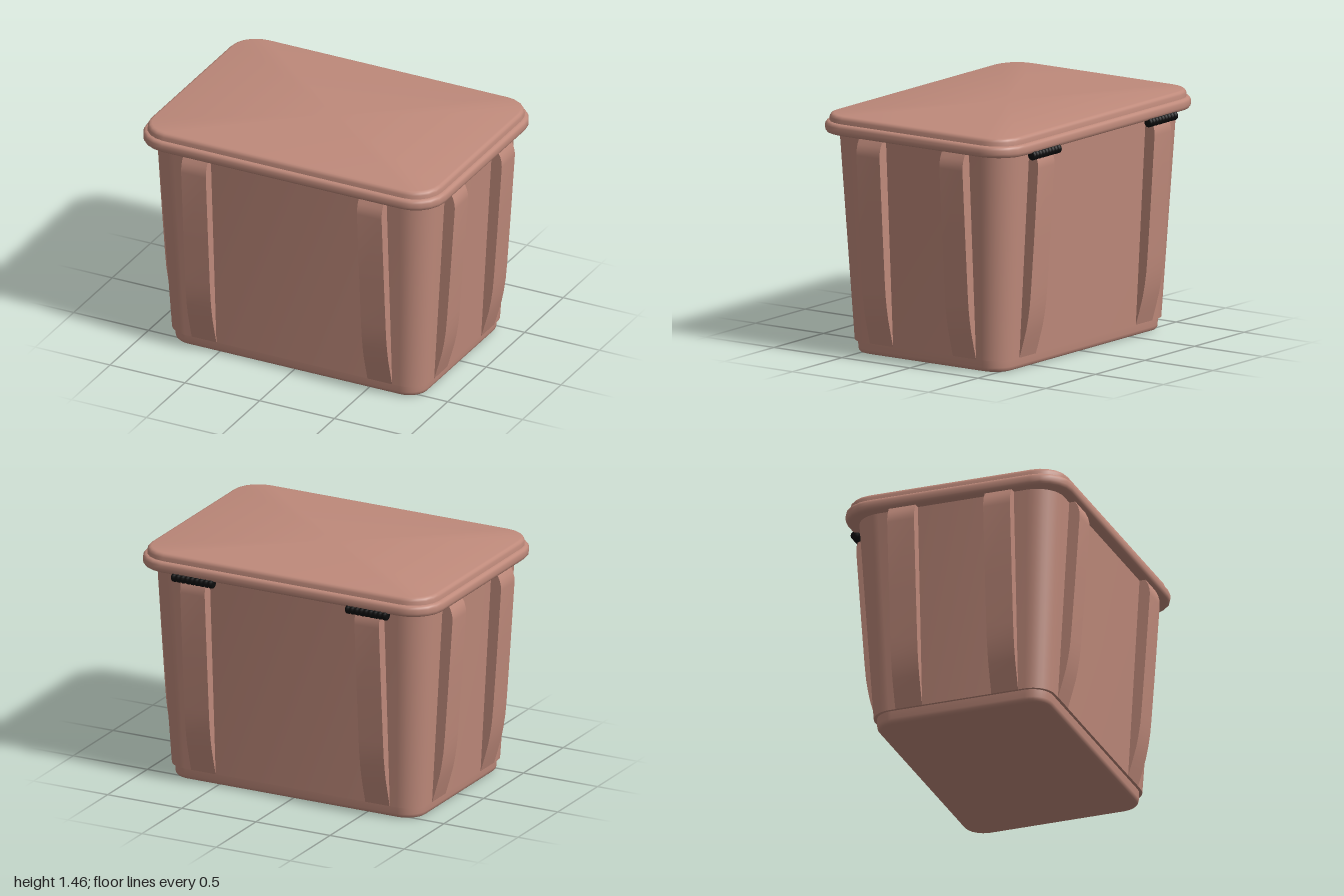
import * as THREE from 'three';
import { toCreasedNormals } from 'three/addons/utils/BufferGeometryUtils.js';

const CREASE = 0.6;

// Closed loft through rounded rectangles; each ring is [y, halfX, halfZ, cornerRadius]
function loft(rings, seg) {
  const pos = [], idx = [];
  const n = 4 * (seg + 1);
  for (const [y, hx, hz, r] of rings) {
    for (let q = 0; q < 4; q++) {
      const sx = q === 0 || q === 3 ? 1 : -1, sz = q < 2 ? -1 : 1;
      for (let i = 0; i <= seg; i++) {
        const a = (q + i / seg) * Math.PI / 2;
        pos.push(sx * (hx - r) + r * Math.cos(a), y, sz * (hz - r) - r * Math.sin(a));
      }
    }
  }
  for (let k = 0; k < rings.length - 1; k++) {
    for (let j = 0; j < n; j++) {
      const a = k * n + j, b = k * n + (j + 1) % n;
      idx.push(a, b, b + n, a, b + n, a + n);
    }
  }
  const last = (rings.length - 1) * n, c = rings.length * n;
  pos.push(0, rings[0][0], 0, 0, rings[rings.length - 1][0], 0);
  for (let j = 0; j < n; j++) {
    const k = (j + 1) % n;
    idx.push(c, k, j, c + 1, last + j, last + k);
  }
  const g = new THREE.BufferGeometry();
  g.setAttribute('position', new THREE.Float32BufferAttribute(pos, 3));
  g.setIndex(idx);
  return toCreasedNormals(g, CREASE);
}

// Rib cross-section: outward distance against height, extruded to the rib width
function ribGeometry(shift, width) {
  const outer = [[0.858, 0.075], [0.883, 0.16], [0.908, 0.25], [0.922, 0.32], [0.934, 0.4],
    [0.943, 0.5], [0.965, 0.8], [0.995, 1.24], [0.994, 1.27], [0.985, 1.305], [0.965, 1.345]];
  const pts = [[0.8, 0.075], ...outer, [0.8, 1.345]];
  const shape = new THREE.Shape(pts.map(([u, y]) => new THREE.Vector2(u - shift, y)));
  const g = new THREE.ExtrudeGeometry(shape, { depth: width, bevelEnabled: false });
  g.translate(0, 0, -width / 2);
  return toCreasedNormals(g, CREASE);
}

export function createModel() {
  const plastic = new THREE.MeshStandardMaterial({ color: 0xbf8a7b });
  plastic.name = 'dusty pink plastic';
  const black = new THREE.MeshStandardMaterial({ color: 0x0c0c0c });
  black.name = 'black hinge';

  const model = new THREE.Group();
  model.name = 'storageBin';
  const bin = new THREE.Group();
  bin.name = 'bin';
  bin.position.z = 0.0075;
  model.add(bin);

  const add = (parent, name, geo, mat) => {
    const m = new THREE.Mesh(geo, mat);
    m.name = name;
    parent.add(m);
    return m;
  };
  const D = 0.285; // the bin is this much shallower than it is wide, per half
  const ring = (y, hx, r) => [y, hx, hx - D, r];

  // Recessed foot with a rounded lower edge
  add(bin, 'foot', loft([ring(0, 0.815, 0.105), ring(0.004, 0.827, 0.117),
    ring(0.013, 0.835, 0.125), ring(0.028, 0.838, 0.128), ring(0.08, 0.84, 0.13)], 8), plastic);

  // Tapered body
  add(bin, 'body', loft([ring(0.075, 0.857, 0.14), ring(1.35, 0.93, 0.17)], 8), plastic);

  // Lid: wide rolled rim, then a slightly smaller raised top
  add(bin, 'lidRim', loft([ring(1.34, 0.978, 0.178), ring(1.344, 0.99, 0.19),
    ring(1.352, 0.997, 0.197), ring(1.365, 1, 0.2), ring(1.388, 1, 0.2),
    ring(1.4, 0.996, 0.196), ring(1.407, 0.988, 0.188), ring(1.41, 0.976, 0.176)], 5), plastic);
  add(bin, 'lidTop', loft([ring(1.4, 0.975, 0.175), ring(1.432, 0.973, 0.173),
    ring(1.444, 0.969, 0.169), ring(1.452, 0.96, 0.16), ring(1.455, 0.948, 0.148)], 5), plastic);

  // Two vertical ribs on every side
  const sideRib = ribGeometry(0, 0.17), longRib = ribGeometry(D, 0.165);
  for (const side of [1, -1]) {
    for (const s of [1, -1]) {
      const a = add(bin, side > 0 ? 'leftRib' : 'rightRib', sideRib, plastic);
      a.rotation.y = side > 0 ? 0 : Math.PI;
      a.position.z = s * 0.305;
      const b = add(bin, side > 0 ? 'frontRib' : 'backRib', longRib, plastic);
      b.rotation.y = -side * Math.PI / 2;
      b.position.x = s * 0.5875;
    }
  }

  // Hinge barrels made of knuckles along the back edge
  const knuckles = 9, length = 0.28, step = length / knuckles;
  for (const s of [1, -1]) {
    const hinge = new THREE.Group();
    hinge.name = s > 0 ? 'leftHinge' : 'rightHinge';
    hinge.position.set(s * 0.587, 1.327, -0.692);
    const profile = [new THREE.Vector2(0, -length / 2)];
    for (let i = 0; i < knuckles; i++) {
      const y = -length / 2 + i * step;
      profile.push(new THREE.Vector2(0.022, y), new THREE.Vector2(0.028, y + step * 0.25),
        new THREE.Vector2(0.028, y + step * 0.75));
    }
    profile.push(new THREE.Vector2(0.022, length / 2), new THREE.Vector2(0, length / 2));
    const barrel = add(hinge, 'hingeBarrel', new THREE.LatheGeometry(profile, 16), black);
    barrel.rotation.z = Math.PI / 2;
    model.add(hinge);
  }
  return model;
}
